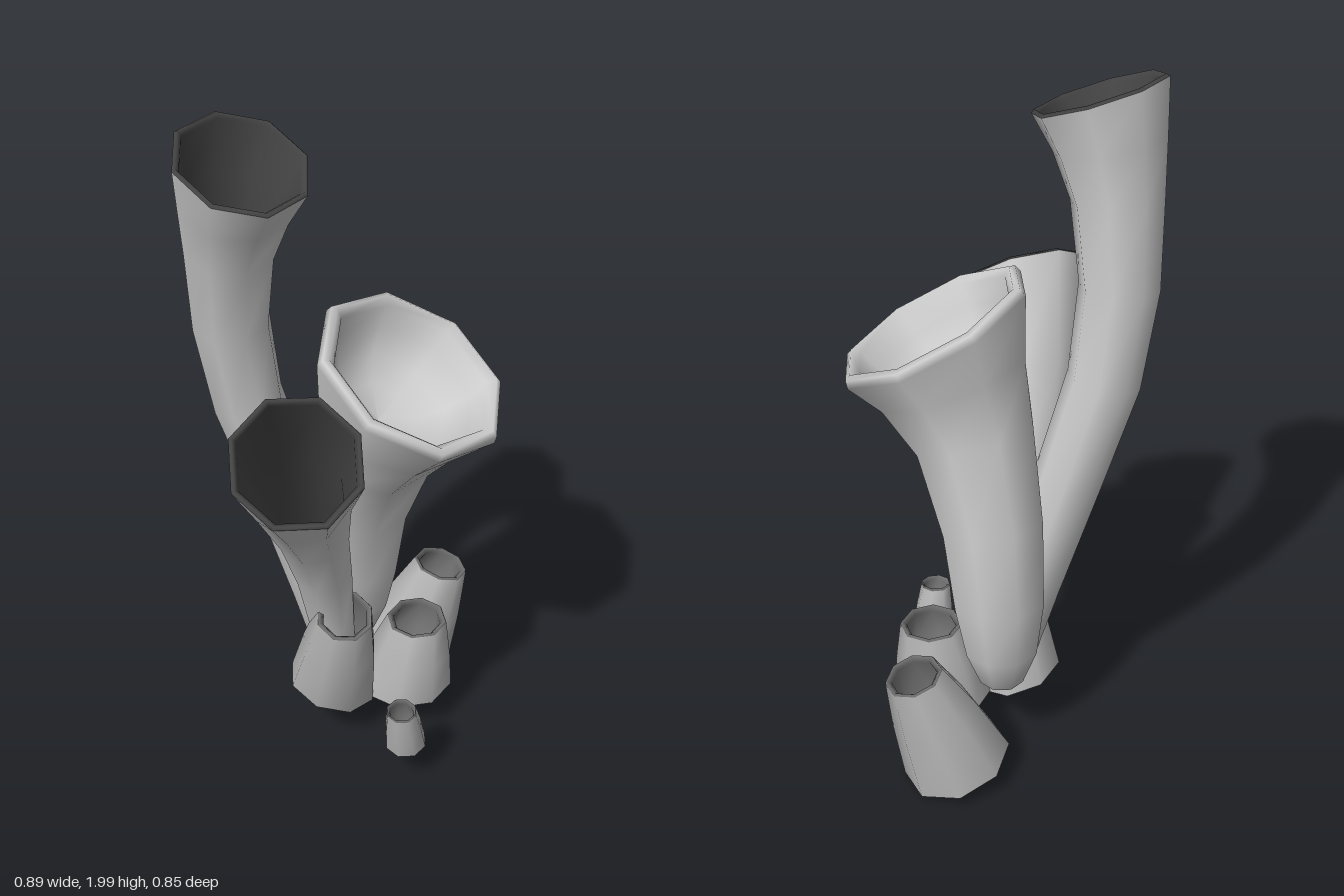
import * as THREE from 'three';

const SIDES = 8;
const GREY = 0xcccccc, STUB = 0xb4b4b4, DEEP = 0x444444, SHADED = 0x707070;
const V = (a) => new THREE.Vector3(a[0], a[1], a[2]);

// Skins a list of rings { c: centre, n: axis, r: radius } with smooth eight-sided walls
function skin(name, rings, turn, color) {
  const pos = [], index = [];
  rings.forEach(({ c, n, r }) => {
    const u = new THREE.Vector3(1, 0, 0).addScaledVector(n, -n.x).normalize();
    const v = new THREE.Vector3().crossVectors(n, u);
    for (let j = 0; j < SIDES; j++) {
      const a = turn + (j / SIDES) * Math.PI * 2;
      const p = c.clone().addScaledVector(u, r * Math.cos(a)).addScaledVector(v, r * Math.sin(a));
      pos.push(p.x, p.y, p.z);
    }
  });
  for (let i = 0; i < rings.length - 1; i++) {
    for (let j = 0; j < SIDES; j++) {
      const k = (j + 1) % SIDES;
      const a = i * SIDES + j, b = i * SIDES + k, c = b + SIDES, d = a + SIDES;
      index.push(a, b, c, a, c, d);
    }
  }
  const g = new THREE.BufferGeometry();
  g.setAttribute('position', new THREE.Float32BufferAttribute(pos, 3));
  g.setIndex(index);
  g.computeVertexNormals();
  const mesh = new THREE.Mesh(g, new THREE.MeshStandardMaterial({ color, side: THREE.DoubleSide }));
  mesh.name = name;
  return mesh;
}

// Copy of a ring moved along its axis and scaled
const shift = (ring, d, s) => ({ c: ring.c.clone().addScaledVector(ring.n, d), n: ring.n, r: ring.r * s });

// Rings along a path of [x, y, z, radius]; foot and mouth set the axes of the two ends
function pathRings(path, foot, mouth) {
  const pts = path.map(V), last = path.length - 1;
  return path.map((p, i) => {
    const n = pts[Math.min(i + 1, last)].clone().sub(pts[Math.max(i - 1, 0)]);
    if (i === 0 && foot) n.copy(V(foot));
    if (i === last) n.copy(V(mouth));
    return { c: pts[i], n: n.normalize(), r: p[3] };
  });
}

// Tube with a thin lip and a darker lining that runs down to ring number floor
function hollowTube(name, rings, { color, lining, floor, wall, closed, turn }) {
  const group = new THREE.Group();
  group.name = name;
  const rim = rings[rings.length - 1];
  const outer = closed ? [shift(rings[0], -0.03, 0), ...rings] : rings;
  const inner = [rim, shift(rim, 0.008, 0.95), shift(rim, -0.005, wall + 0.03)];
  for (let i = rings.length - 2; i >= floor; i--) inner.push(shift(rings[i], 0, wall));
  inner.push(shift(rings[floor], -0.03, 0));
  group.add(skin(name + 'Wall', outer, turn, color), skin(name + 'Lining', inner, turn, lining));
  return group;
}

export function createModel() {
  const group = new THREE.Group();
  group.name = 'tubeSponge';

  // Two long flaring tubes
  const long = (name, path, mouth, floor, turn) => hollowTube(name, pathRings(path, null, mouth),
    { color: GREY, lining: DEEP, floor, wall: 0.86, closed: true, turn });
  group.add(
    long('tallTube', [
      [-0.005, 0.25, -0.115, 0.068],
      [-0.057, 0.5, -0.135, 0.085],
      [-0.148, 0.85, -0.17, 0.096],
      [-0.24, 1.15, -0.187, 0.102],
      [-0.283, 1.42, -0.176, 0.11],
      [-0.288, 1.66, -0.139, 0.126],
      [-0.28, 1.8, -0.103, 0.153],
      [-0.265, 1.925, -0.07, 0.187],
    ], [0.17, 1, 0.38], 2, 0.13),
    long('frontTube', [
      [0.0, 0.14, -0.09, 0.05],
      [-0.035, 0.4, -0.08, 0.07],
      [-0.07, 0.62, -0.035, 0.086],
      [-0.118, 0.82, 0.037, 0.104],
      [-0.175, 1.02, 0.138, 0.138],
      [-0.23, 1.247, 0.293, 0.186],
    ], [-0.07, 0.72, 0.7], 1, 0.25),
  );

  // Wide cup: thick rounded lip and a shallow bowl
  const cup = pathRings([
    [0.08, 0.25, -0.22, 0.065],
    [0.08, 0.36, -0.217, 0.107],
    [0.08, 0.52, -0.202, 0.134],
    [0.083, 0.76, -0.167, 0.149],
    [0.095, 1.0, -0.08, 0.175],
    [0.128, 1.15, -0.014, 0.22],
    [0.157, 1.285, 0.037, 0.289],
  ], null, [0.42, 1, 0.38]);
  const rim = cup[cup.length - 1];
  const bowl = [[0.022, 0.98], [0.03, 0.92], [0.012, 0.84], [-0.05, 0.77], [-0.12, 0.62], [-0.17, 0.38], [-0.19, 0]];
  group.add(skin('wideCup',
    [shift(cup[0], -0.03, 0), ...cup, ...bowl.map(([d, s]) => shift(rim, d, s))], -0.02, GREY));

  // Short tapering stubs, open underneath
  const stub = (name, bottom, top, foot, mouth, turn) => {
    const mid = bottom.map((b, i) => b * 0.45 + top[i] * 0.55);
    mid[3] *= 1.05;
    return hollowTube(name, pathRings([bottom, mid, top], foot, mouth),
      { color: STUB, lining: SHADED, floor: 1, wall: 0.76, closed: false, turn });
  };
  group.add(
    stub('frontStub', [-0.033, 0.15, -0.08, 0.135], [-0.025, 0.49, 0.03, 0.085], [0.25, 1, 0.1], [-0.05, 1, 0.45], 0.13),
    stub('middleStub', [0.192, 0.13, -0.058, 0.143], [0.222, 0.365, -0.045, 0.09], [0, 1, 0], [0, 1, 0.05], 0.3),
    stub('tinyStub', [0.108, 0.128, 0.212, 0.062], [0.085, 0.27, 0.238, 0.045], [-0.1, 1, 0.17], [-0.05, 1, 0.12], 0.13),
    stub('sideStub', [0.25, 0.055, -0.28, 0.157], [0.367, 0.38, -0.257, 0.083], [0.32, 1, 0.05], [0.28, 1, 0.05], 0.4),
  );
  return group;
}
